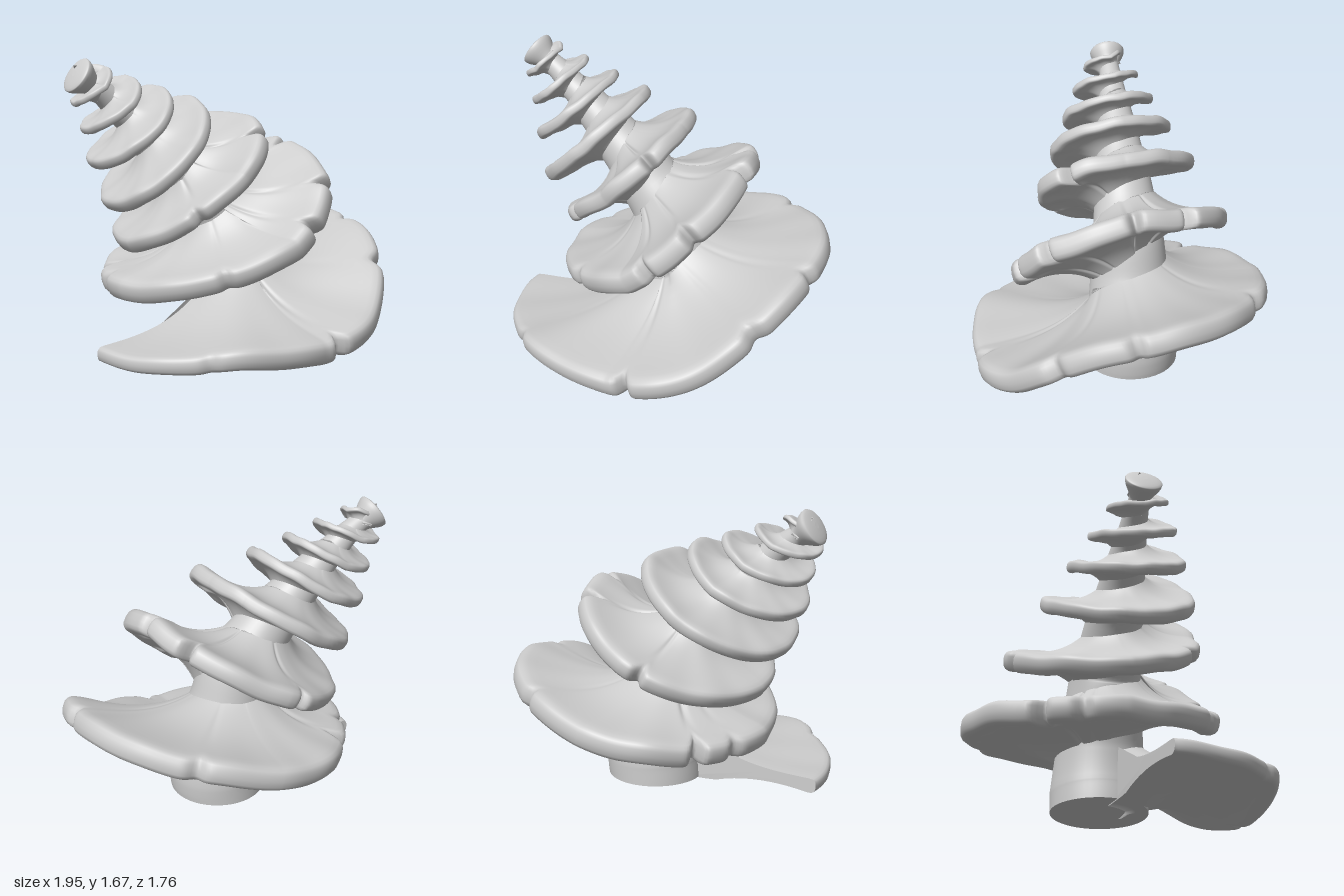
import * as THREE from 'three';

const V = (x, y, z) => new THREE.Vector3(x, y, z);
const AXIS_Z = -0.07, TURNS = 7, FLANGE_END = 6.75;
const bell = (t, at, width) => Math.exp(-(((t - at) / width) ** 2));

// Leaning centre line, one point per half turn, from the foot to the tip
const axis = new THREE.CatmullRomCurve3([
  [0.12, 0.012], [0.13, 0.13], [0.11, 0.36], [0.05, 0.55], [-0.01, 0.78], [-0.12, 0.91],
  [-0.23, 1.04], [-0.33, 1.13], [-0.41, 1.21], [-0.50, 1.29], [-0.56, 1.35], [-0.63, 1.40],
  [-0.69, 1.455], [-0.75, 1.5], [-0.81, 1.54], [-0.89, 1.59],
].map(([x, y]) => V(x, y, AXIS_Z)));
const axisU = t => THREE.MathUtils.clamp((t + 0.5) / (TURNS + 0.5), 0, 1);
const centre = t => axis.getPoint(axisU(t));
const coreRadius = t => 0.055 + 0.225 * Math.pow(1 - Math.max(t, 0) / TURNS, 1.6)
  + 0.05 * THREE.MathUtils.smoothstep(t, 6.4, 7);

// Rim of the spiral flange, one point per quarter turn: left, front, right, back
const rimPoints = [
  [-0.87, 0.055, 0.08], [0.12, 0.11, 0.87], [1.0, 0.64, -0.03], [0.10, 0.46, -0.88],
  [-0.63, 0.35, -0.08], [0.12, 0.62, 0.63], [0.54, 1.14, -0.03], [-0.04, 0.82, -0.67],
  [-0.59, 0.61, -0.05], [-0.12, 1.02, 0.45], [0.14, 1.33, -0.03], [-0.27, 1.09, -0.51],
  [-0.70, 0.85, -0.05], [-0.41, 1.15, 0.34], [-0.15, 1.44, -0.04], [-0.45, 1.25, -0.40],
  [-0.80, 1.09, -0.06], [-0.56, 1.30, 0.25], [-0.36, 1.51, -0.06], [-0.59, 1.38, -0.31],
  [-0.85, 1.28, -0.07], [-0.68, 1.43, 0.17], [-0.55, 1.57, -0.07], [-0.73, 1.49, -0.24],
  [-0.91, 1.43, -0.07], [-0.80, 1.53, 0.09], [-0.71, 1.63, -0.07], [-0.88, 1.60, -0.18],
].map(p => V(...p));
const spokes = rimPoints.map((p, i) => p.clone().sub(centre(i / 4)));

// Splits in the rim: turn, depth, width
const notches = [
  [0.13, 0.02, 0.008], [0.27, 0.07, 0.006], [0.41, 0.05, 0.008], [0.49, 0.04, 0.006],
  [0.665, 0.04, 0.008], [0.9, 0.10, 0.007], [0.95, 0.04, 0.008],
  [1.15, 0.03, 0.008], [1.29, 0.07, 0.007], [1.37, 0.08, 0.007], [1.5, 0.08, 0.007],
  [1.59, 0.10, 0.008], [1.78, 0.05, 0.008], [2.15, 0.04, 0.009], [2.38, 0.09, 0.009],
];

// Vector from the centre line to the rim at turn t; the first turn lifts, then sags
function spoke(t) {
  const i = Math.min(Math.floor(t * 4), spokes.length - 2);
  const a = (t * 4 - i) * Math.PI / 2;
  const d = spokes[i].clone().multiplyScalar(Math.cos(a)).addScaledVector(spokes[i + 1], Math.sin(a));
  d.y += 0.06 * bell(t, 0.14, 0.08) - 0.13 * bell(t, 0.335, 0.08);
  return d;
}

// Skin over a row of cross-sections, with a flat cap at each end
function loft(rings) {
  const pos = [], idx = [], n = rings[0].length;
  rings.forEach(r => r.forEach(p => pos.push(p.x, p.y, p.z)));
  for (let i = 0; i < rings.length - 1; i++) {
    for (let j = 0; j < n; j++) {
      const k = (j + 1) % n, a = i * n + j, b = i * n + k;
      idx.push(a, a + n, b, b, a + n, b + n);
    }
  }
  [rings[0], rings[rings.length - 1]].forEach((ring, end) => {
    const first = pos.length / 3;
    const mid = ring.reduce((s, p) => s.add(p), V(0, 0, 0)).divideScalar(n);
    [mid, ...ring].forEach(p => pos.push(p.x, p.y, p.z));
    for (let j = 0; j < n; j++) {
      const a = first + 1 + j, b = first + 1 + (j + 1) % n;
      if (end) idx.push(first, b, a); else idx.push(first, a, b);
    }
  });
  const g = new THREE.BufferGeometry();
  g.setAttribute('position', new THREE.Float32BufferAttribute(pos, 3));
  g.setIndex(idx);
  g.computeVertexNormals();
  return g;
}

// Flange cross-section: fillets at the core, flat top, hollow underside and a thick lip
function flangeSection(t) {
  const d = spoke(t), size = d.length(), dir = d.clone().normalize();
  const c = centre(t), r = coreRadius(t);
  const t0 = Math.max(t - 0.01, 0), t1 = Math.min(t + 0.01, FLANGE_END);
  const along = spoke(t1).add(centre(t1)).sub(spoke(t0)).sub(centre(t0));
  const up = dir.clone().cross(along).normalize();
  let cut = 0;
  for (const [at, depth, width] of notches) cut += depth * bell(t, at, width);
  const wave = Math.sin(t * 47) + 0.6 * Math.sin(t * 83 + 1);
  // The last part of the spiral melts into the tip
  const fade = 1 - THREE.MathUtils.smoothstep(t, 6.55, FLANGE_END);
  const lip = 0.1 * Math.min(size, 0.72) * (0.6 + 0.4 * THREE.MathUtils.smoothstep(t, 0, 0.3));
  const web = lip * 0.5, fillet = r * 0.7;
  const start = r * 0.65;
  const end = Math.max((size * (1 + 0.006 * wave) - cut - lip) * (0.5 + 0.5 * fade), start + 0.005);
  const at = (out, h) => {
    const p = c.clone().addScaledVector(dir, out).addScaledVector(up, h);
    p.y = Math.max(p.y, 0.006);
    return p;
  };
  const steps = 14, lower = [], upper = [], lipArc = [];
  for (let j = 0; j < steps; j++) {
    const u = j / steps, out = start + (end - start) * u;
    const ripple = 0.007 * size * wave * u * u, root = fillet * (1 - u) ** 3;
    lower.push(at(out, ripple - web - (lip - web) * u ** 5 - root));
    upper.unshift(at(out, ripple + lip * (0.75 + 0.25 * u) + root * 1.1));
  }
  for (let k = 0; k <= 8; k++) {
    const a = (k / 8 - 0.5) * Math.PI, s = Math.sin(a);
    lipArc.push(at(end + lip * Math.pow(Math.max(Math.cos(a), 0), 0.75),
      lip * Math.sign(s) * Math.pow(Math.abs(s), 0.75) + 0.007 * size * wave));
  }
  return [...lower, ...lipArc, ...upper];
}

// Round core section; lift and scale shape the rounded tip
function coreRing(t, lift = 0, scale = 1) {
  const tan = axis.getTangent(axisU(t));
  if (t < -0.2) tan.lerp(V(0, 1, 0), (-0.2 - t) / 0.3).normalize();
  const c = centre(t).addScaledVector(tan, lift);
  const e = V(tan.y, -tan.x, 0), r = coreRadius(t) * scale;
  return Array.from({ length: 48 }, (_, k) => {
    const a = k / 48 * Math.PI * 2;
    return c.clone().addScaledVector(e, r * Math.cos(a)).add(V(0, 0, r * Math.sin(a)));
  });
}

export function createModel() {
  const group = new THREE.Group();
  group.name = 'spiralShell';
  const material = new THREE.MeshStandardMaterial({ color: 0xcccccc });
  const add = (name, rings) => {
    const mesh = new THREE.Mesh(loft(rings), material);
    mesh.name = name;
    group.add(mesh);
  };
  // Tapering core with a flared, softly domed tip
  const rings = Array.from({ length: 91 }, (_, i) => coreRing(-0.5 + i / 90 * (TURNS + 0.5)));
  for (let k = 1; k <= 5; k++) {
    const a = k / 5 * 1.4;
    rings.push(coreRing(TURNS, 0.02 * Math.sin(a), Math.cos(a)));
  }
  add('core', rings);
  // Spiral flange, with finer steps on the large lower turns
  const sections = [];
  for (let t = 0; t < FLANGE_END; t += t < 2.6 ? 0.003 : 0.0125) sections.push(flangeSection(t));
  sections.push(flangeSection(FLANGE_END));
  add('spiralFlange', sections);
  return group;
}
